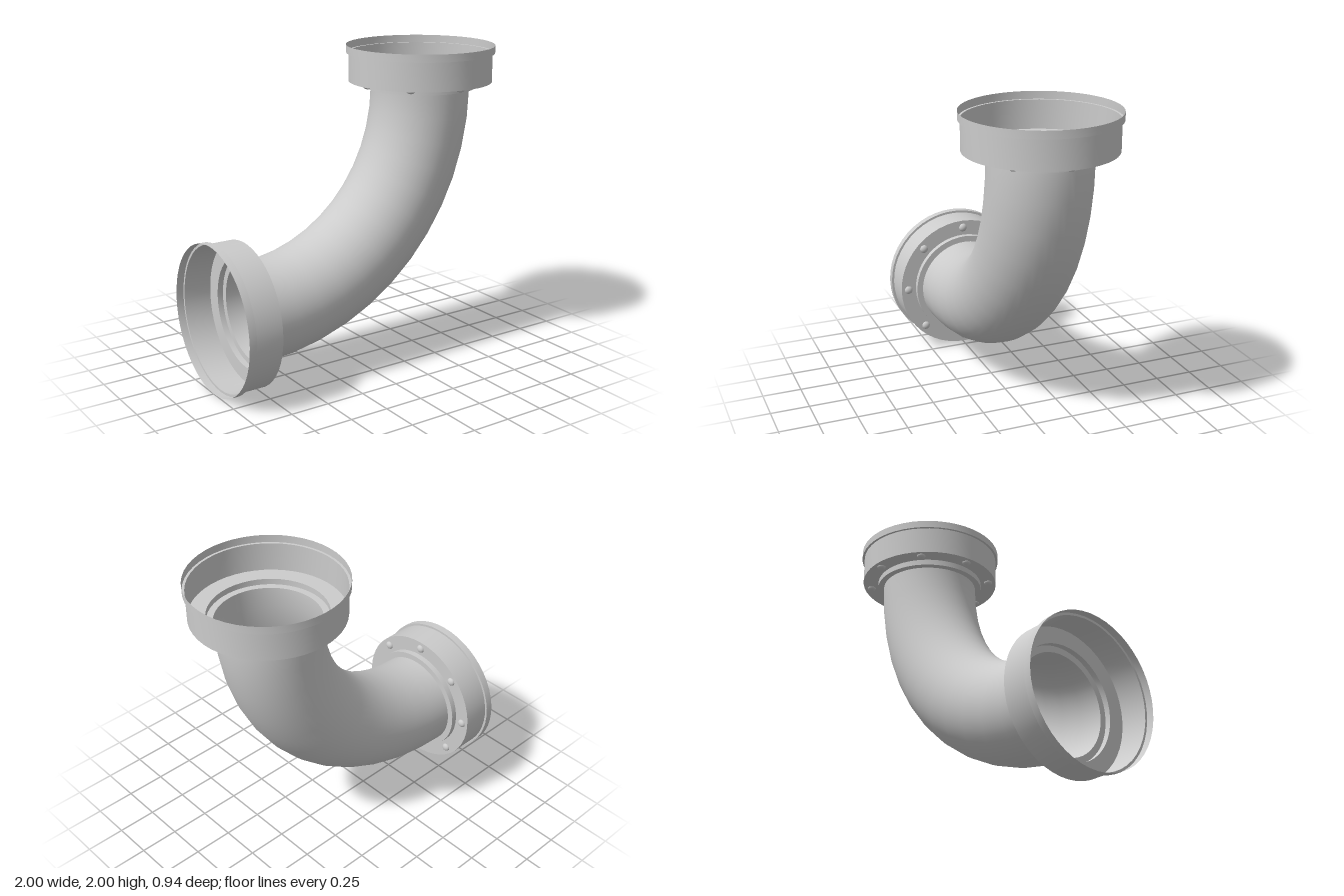
import * as THREE from 'three';
import { toCreasedNormals } from 'three/addons/utils/BufferGeometryUtils.js';

const PIPE_R = 0.313, BEND_R = 1.265, RIM_R = 0.47;
const DEPTH = 0.265, FLOOR = 0.228; // distances from the mouth to the pipe and to the bolt ring

export function createModel() {
  const material = new THREE.MeshStandardMaterial({ color: 0xcccccc, side: THREE.DoubleSide });
  const model = new THREE.Group();
  model.name = 'pipeElbow';

  const add = (parent, geometry, name) => {
    const mesh = new THREE.Mesh(geometry, material);
    mesh.name = name;
    parent.add(mesh);
    return mesh;
  };

  // Quarter bend, open at both ends
  const bend = add(model, new THREE.TorusGeometry(BEND_R, PIPE_R, 48, 12, Math.PI / 2), 'bentPipe');
  bend.rotation.z = -Math.PI / 2;
  bend.position.set(-1 + DEPTH, 2 - DEPTH, 0);

  // Thin stepped cup: collar, bolt ring, wall and rim; its mouth is at y = 0
  const profile = [
    [PIPE_R, -DEPTH], [0.353, -DEPTH], [0.353, -FLOOR], [0.455, -FLOOR],
    [0.455, -0.048], [RIM_R, -0.048], [RIM_R, 0],
  ].map(([r, y]) => new THREE.Vector2(r, y));
  const cup = toCreasedNormals(new THREE.LatheGeometry(profile, 48), Math.PI / 5);

  // Domed bolt head pointing down, away from the mouth
  const boltHead = new THREE.SphereGeometry(0.028, 16, 6, 0, Math.PI * 2, Math.PI / 2, Math.PI / 2);
  boltHead.scale(1, 0.7, 1);

  const addFlange = (name, x, y, tilt) => {
    const flange = new THREE.Group();
    flange.name = name;
    add(flange, cup, 'flangeCup');
    for (let i = 0; i < 8; i++) {
      const a = (i * Math.PI) / 4;
      add(flange, boltHead, 'boltHead').position.set(0.405 * Math.cos(a), -FLOOR, 0.405 * Math.sin(a));
    }
    flange.position.set(x, y, 0);
    flange.rotation.z = tilt;
    model.add(flange);
  };
  addFlange('topFlange', 1 - RIM_R, 2, 0);
  addFlange('sideFlange', -1, RIM_R, Math.PI / 2);

  return model;
}
